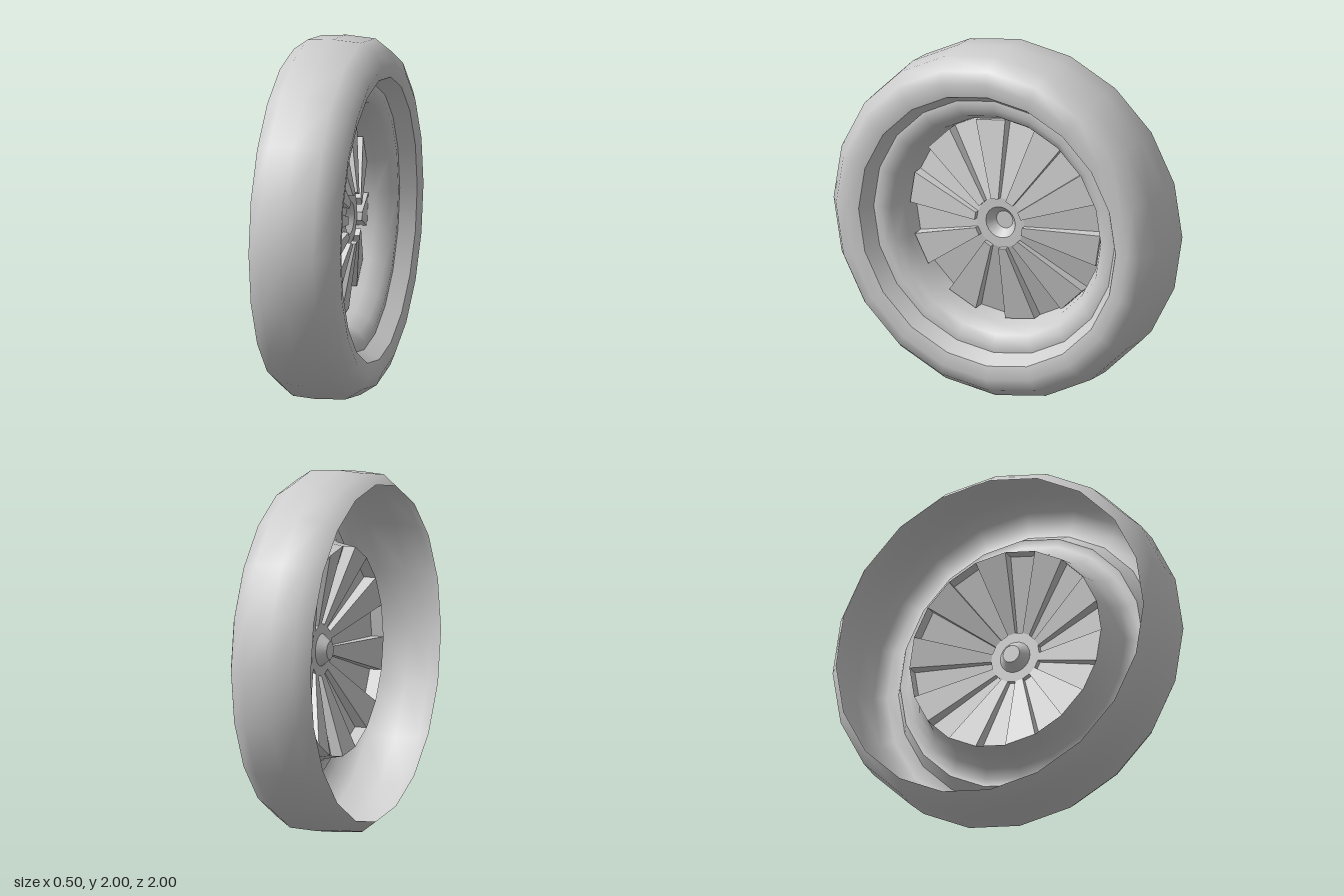
import * as THREE from 'three';

const SIDES = 20;
const STEP = (Math.PI * 2) / SIDES;

const smooth = new THREE.MeshStandardMaterial({ color: 0xcccccc, side: THREE.DoubleSide });
const flat = new THREE.MeshStandardMaterial({ color: 0xcccccc, side: THREE.DoubleSide, flatShading: true });

// Turned part around the x axle; profile is a list of [radius, x]
function turned(name, profile, material = smooth) {
  const points = profile.map(([r, x]) => new THREE.Vector2(r, x));
  const geometry = new THREE.LatheGeometry(points, SIDES).rotateZ(-Math.PI / 2);
  const mesh = new THREE.Mesh(geometry, material);
  mesh.name = name;
  return mesh;
}

// Point at a given radius, angle around the axle, and x
const polar = (r, a, x) => [x, r * Math.sin(a), -r * Math.cos(a)];

// Flat-sided panel made of four-cornered faces
function panel(name, quads) {
  const positions = [];
  for (const [a, b, c, d] of quads) positions.push(...a, ...b, ...c, ...a, ...c, ...d);
  const geometry = new THREE.BufferGeometry();
  geometry.setAttribute('position', new THREE.Float32BufferAttribute(positions, 3));
  geometry.computeVertexNormals();
  const mesh = new THREE.Mesh(geometry, flat);
  mesh.name = name;
  return mesh;
}

// Alternating low and raised wedges, sloping back from hub to rim
function createSpokes() {
  const spokes = new THREE.Group();
  spokes.name = 'spokes';
  const inner = 0.145, outer = 0.58;
  const low = [0.07, -0.055], high = [0.1, 0.015];
  for (let k = 0; k < SIDES; k++) {
    const a = k * STEP, b = a + STEP;
    const raised = k % 2 === 1;
    const [xi, xo] = raised ? high : low;
    const ai = polar(inner, a, xi), ao = polar(outer, a, xo);
    const bi = polar(inner, b, xi), bo = polar(outer, b, xo);
    const quads = [[ai, bi, bo, ao]];
    if (raised) {
      // side and end walls down to the low level
      const aiL = polar(inner, a, low[0]), aoL = polar(outer, a, low[1]);
      const biL = polar(inner, b, low[0]), boL = polar(outer, b, low[1]);
      quads.push([ai, ao, aoL, aiL], [bi, biL, boL, bo], [ai, aiL, biL, bi], [ao, bo, boL, aoL]);
    }
    spokes.add(panel(raised ? 'raisedSpoke' : 'lowSpoke', quads));
  }
  return spokes;
}

export function createModel() {
  const wheel = new THREE.Group();
  wheel.name = 'wheel';

  // Tyre shell, open at the back
  wheel.add(turned('tyre', [
    [0.93, -0.25], [0.99, -0.17], [1, -0.03], [0.99, 0.13],
    [0.93, 0.22], [0.86, 0.25], [0.785, 0.235],
  ]));

  // Step between tyre and rim
  wheel.add(turned('rimGroove', [[0.785, 0.235], [0.735, 0.15]]));

  // Rounded rim running back to the spokes
  wheel.add(turned('rim', [
    [0.735, 0.15], [0.69, 0.155], [0.64, 0.125], [0.6, 0.05], [0.58, -0.055],
  ]));

  wheel.add(createSpokes());

  // Hub plate with a tapered socket
  wheel.add(turned('hubPlate', [[0.145, 0.07], [0.09, 0.07]], flat));
  wheel.add(turned('hubSocket', [[0.09, 0.07], [0.05, 0.02]]));
  wheel.add(turned('hubCap', [[0.05, 0.02], [0, 0.02]], flat));

  wheel.position.y = 1;
  const model = new THREE.Group();
  model.name = 'wheelModel';
  model.add(wheel);
  return model;
}
